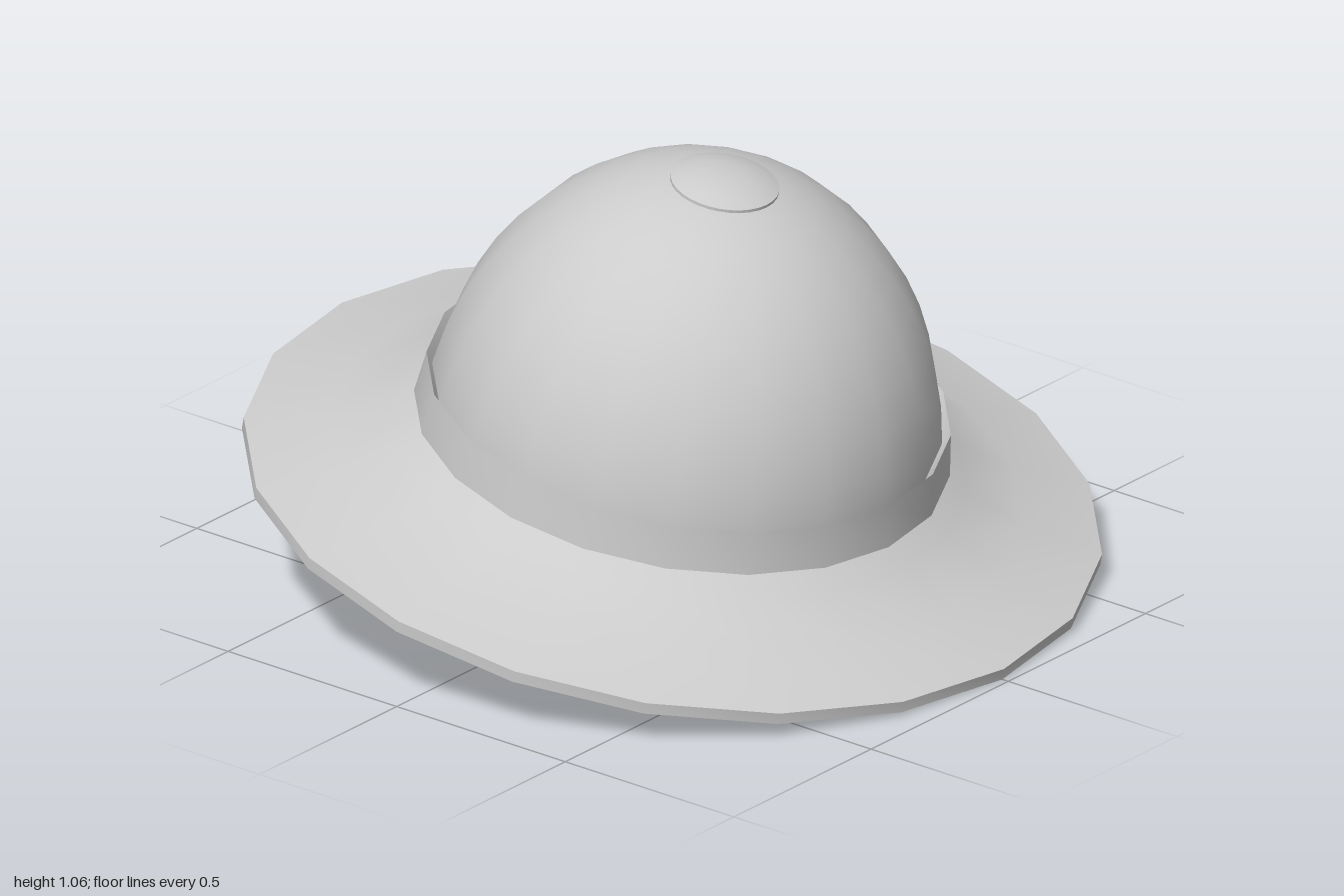
import * as THREE from 'three';
import { toCreasedNormals } from 'three/addons/utils/BufferGeometryUtils.js';

const SIDES = 20;
const TILT = 0.189;
const material = new THREE.MeshStandardMaterial({ color: 0xcccccc });

// Revolve a profile (listed outward along the bottom, then back over the top)
function turned(name, profile, sides = SIDES) {
  const points = profile.map(([r, y]) => new THREE.Vector2(r, y));
  const geometry = toCreasedNormals(new THREE.LatheGeometry(points, sides), 0.55);
  const mesh = new THREE.Mesh(geometry, material);
  mesh.name = name;
  return mesh;
}

export function createModel() {
  const group = new THREE.Group();
  group.name = 'sunHelmet';

  // Everything is built upright around one axis, then tipped sideways
  const helmet = new THREE.Group();
  helmet.name = 'helmet';
  helmet.rotation.z = -TILT;
  helmet.position.y = Math.sin(TILT);
  group.add(helmet);

  // Flared brim with a shallow conical underside
  helmet.add(turned('brim', [
    [0.635, 0.08], [1, 0],
    [1, 0.028], [0.81, 0.073], [0.67, 0.135], [0.62, 0.175], [0.57, 0.2],
  ]));

  // Flat floor closing the underside
  helmet.add(turned('innerFloor', [[0, 0.08], [0.635, 0.08]]));

  // Domed crown: upper half of an ellipsoid
  const crown = [];
  const rings = 12;
  for (let i = 0; i <= rings; i++) {
    const a = (i / rings) * Math.PI / 2;
    crown.push([i === rings ? 0 : 0.598 * Math.cos(a), 0.17 + 0.69 * Math.sin(a)]);
  }
  helmet.add(turned('crown', crown));

  // Band around the crown, its lip sloping in to the dome
  helmet.add(turned('band', [
    [0.57, 0.167], [0.625, 0.167], [0.611, 0.278], [0.585, 0.235],
  ]));

  // Shallow button on top
  helmet.add(turned('topButton', [
    [0.127, 0.83], [0.127, 0.85], [0.095, 0.864], [0.05, 0.874], [0, 0.876],
  ], 32));

  return group;
}
